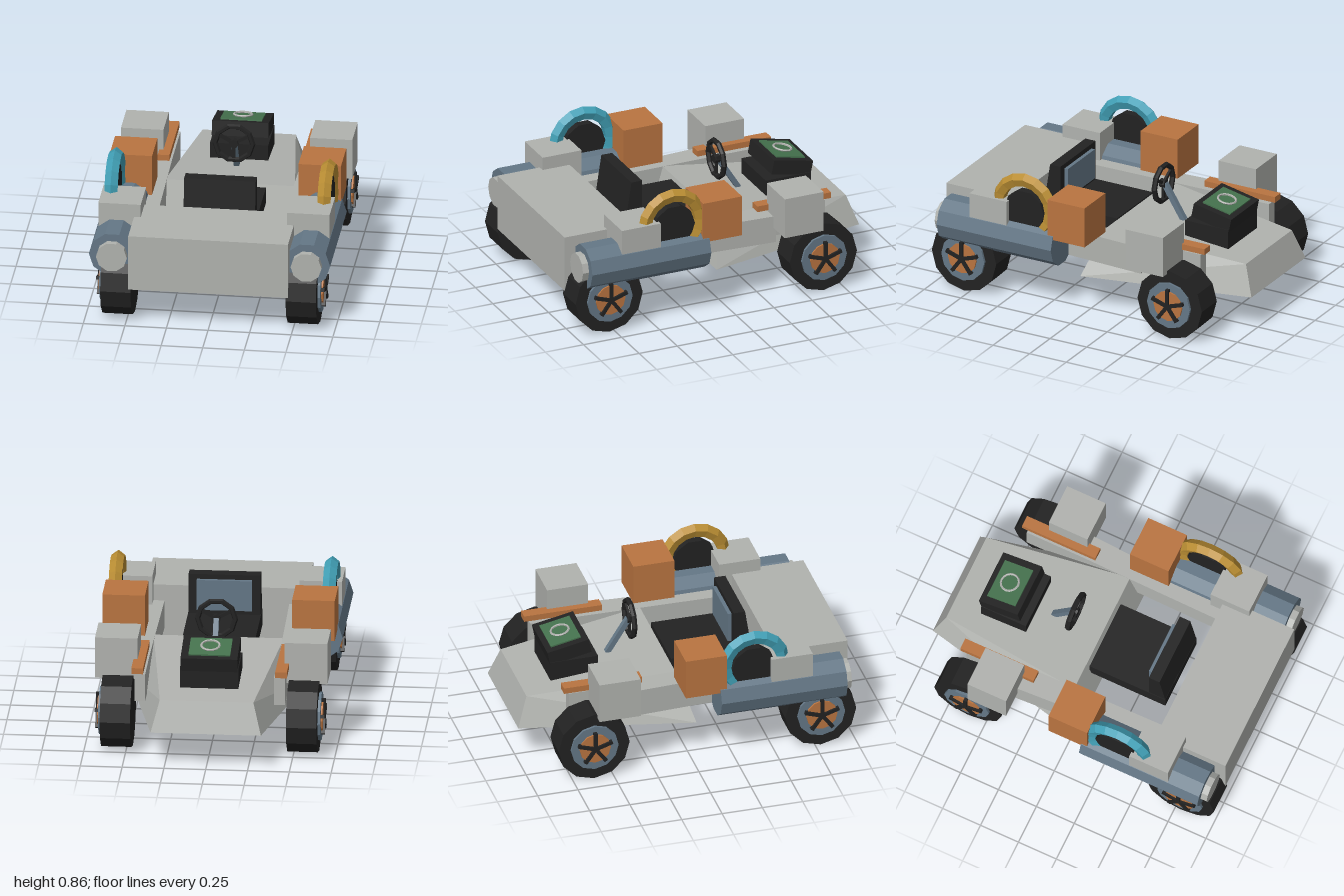
import * as THREE from 'three';
import { ConvexGeometry } from 'three/addons/geometries/ConvexGeometry.js';

const paint = (name, color) => {
  const m = new THREE.MeshStandardMaterial({ color, flatShading: true });
  m.name = name;
  return m;
};

export function createModel() {
  const gray = paint('light gray', 0xb0b2ae);
  const black = paint('black', 0x222222);
  const steel = paint('steel blue', 0x647786);
  const orange = paint('orange', 0xb97440);
  const green = paint('green', 0x45724e);
  const cyan = paint('cyan', 0x419fb5);
  const gold = paint('gold', 0xb98d33);

  const car = new THREE.Group();
  car.name = 'buggy';

  const add = (name, geo, mat, x = 0, y = 0, z = 0, parent = car) => {
    const m = new THREE.Mesh(geo, mat);
    m.name = name;
    m.position.set(x, y, z);
    parent.add(m);
    return m;
  };
  // box given by its extents
  const block = (name, mat, [x0, x1], [y0, y1], [z0, z1], parent = car) =>
    add(name, new THREE.BoxGeometry(Math.abs(x1 - x0), y1 - y0, z1 - z0), mat,
      (x0 + x1) / 2, (y0 + y1) / 2, (z0 + z1) / 2, parent);
  // convex solid from corner points
  const solid = (name, mat, pts) =>
    add(name, new ConvexGeometry(pts.map(p => new THREE.Vector3(...p))), mat);
  const cylX = (r, len, n) => new THREE.CylinderGeometry(r, r, len, n).rotateZ(Math.PI / 2);
  const cylZ = (r, len, n) =>
    new THREE.CylinderGeometry(r, r, len, n, 1, false, Math.PI / 2).rotateX(Math.PI / 2);

  // main body: block at one end, tapered nose at the other
  block('engineBlock', gray, [-0.48, 0.48], [0.24, 0.59], [0.545, 1]);
  const nose = [];
  for (const s of [-1, 1]) {
    nose.push([s * 0.33, 0.225, -1], [s * 0.56, 0.225, 0.04],
      [s * 0.28, 0.41, -0.935], [s * 0.39, 0.49, -0.04]);
  }
  solid('noseHull', gray, nose);

  // wheel: tyre, rim, hub and five spokes, s is the outward direction
  const wheel = (s, z) => {
    const g = new THREE.Group();
    g.name = 'wheel';
    g.position.set(s * 0.557, 0.22, z);
    car.add(g);
    add('tyre', cylX(0.22, 0.182, 12), black, 0, 0, 0, g);
    add('rim', cylX(0.147, 0.03, 12), steel, s * 0.092, 0, 0, g);
    add('hub', cylX(0.096, 0.03, 12), orange, s * 0.102, 0, 0, g);
    for (let i = 0; i < 5; i++) {
      const geo = new THREE.BoxGeometry(0.03, 0.11, 0.022).translate(0, 0.055, 0);
      add('spoke', geo, black, s * 0.115, 0, 0, g).rotation.x = i * Math.PI * 2 / 5;
    }
  };

  for (const s of [-1, 1]) {
    // chassis rail
    const rail = [];
    for (const y of [0.32, 0.49]) {
      rail.push([s * 0.385, y, -0.36], [s * 0.535, y, -0.36], [s * 0.37, y, 0.75], [s * 0.475, y, 0.75]);
    }
    solid('sideRail', gray, rail);
    block('railTip', gray, [s * 0.385, s * 0.45], [0.32, 0.49], [-0.72, -0.36]);

    wheel(s, 0.785);
    wheel(s, -0.62);

    // side pod with lamp
    add('sidePod', cylZ(0.14, 0.78, 10), steel, s * 0.585, 0.43, 0.54);
    add('lamp', cylZ(0.093, 0.045, 10), gray, s * 0.585, 0.43, 0.947);

    // cargo boxes
    const bx = [s * 0.44, s * 0.695];
    block('rearBox', gray, bx, [0.415, 0.67], [0.467, 0.722]);
    block('middleBox', orange, bx, [0.49, 0.745], [-0.065, 0.19]);
    block('frontBox', gray, bx, [0.415, 0.67], [-0.6, -0.345]);
    block('noseBar', orange, [s * 0.395, s * 0.465], [0.503, 0.54], [-0.755, -0.272]);

    // ring over a dark disc
    const ring = new THREE.TorusGeometry(0.178, 0.042, 5, 16).rotateY(Math.PI / 2);
    add('ring', ring, s > 0 ? gold : cyan, s * 0.64, 0.635, 0.37);
    add('ringDisc', cylX(0.135, 0.05, 10), black, s * 0.64, 0.617, 0.365);
  }

  // seat
  block('seatCushion', black, [-0.218, 0.218], [0.38, 0.48], [-0.02, 0.48]);
  const back = [];
  for (const x of [-0.215, 0.215]) {
    back.push([x, 0.47, 0.37], [x, 0.73, 0.37], [x, 0.73, 0.44], [x, 0.47, 0.48]);
  }
  solid('seatBack', black, back);
  block('seatPad', steel, [-0.165, 0.165], [0.51, 0.7], [0.347, 0.371]);

  // steering wheel and column
  const steering = new THREE.Group();
  steering.name = 'steeringWheel';
  steering.position.set(0, 0.67, -0.215);
  car.add(steering);
  add('steeringRim', new THREE.TorusGeometry(0.113, 0.017, 6, 10), black, 0, 0, 0, steering);
  add('steeringHub', cylZ(0.028, 0.035, 8), black, 0, 0, 0, steering);
  for (let i = 0; i < 3; i++) {
    const geo = new THREE.BoxGeometry(0.02, 0.11, 0.015).translate(0, 0.055, 0);
    add('steeringSpoke', geo, black, 0, 0, 0, steering).rotation.z = Math.PI / 3 + i * Math.PI * 2 / 3;
  }
  const column = add('steeringColumn', new THREE.BoxGeometry(0.032, 0.25, 0.032), steel, 0, 0.565, -0.29);
  column.rotation.x = 0.56;

  // console with tilted top, green panel and ring
  block('consoleBase', black, [-0.175, 0.175], [0.42, 0.55], [-0.755, -0.46]);
  const top = new THREE.Group();
  top.name = 'consoleTop';
  top.position.set(0, 0.6, -0.636);
  top.rotation.x = -0.2;
  car.add(top);
  add('consoleSlab', new THREE.BoxGeometry(0.34, 0.09, 0.26), black, 0, 0, 0, top);
  add('greenPanel', new THREE.BoxGeometry(0.25, 0.009, 0.19), green, 0, 0.049, 0, top);
  const dial = new THREE.TorusGeometry(0.055, 0.007, 5, 16).rotateX(Math.PI / 2);
  add('dialRing', dial, gray, 0, 0.062, 0, top);

  return car;
}
